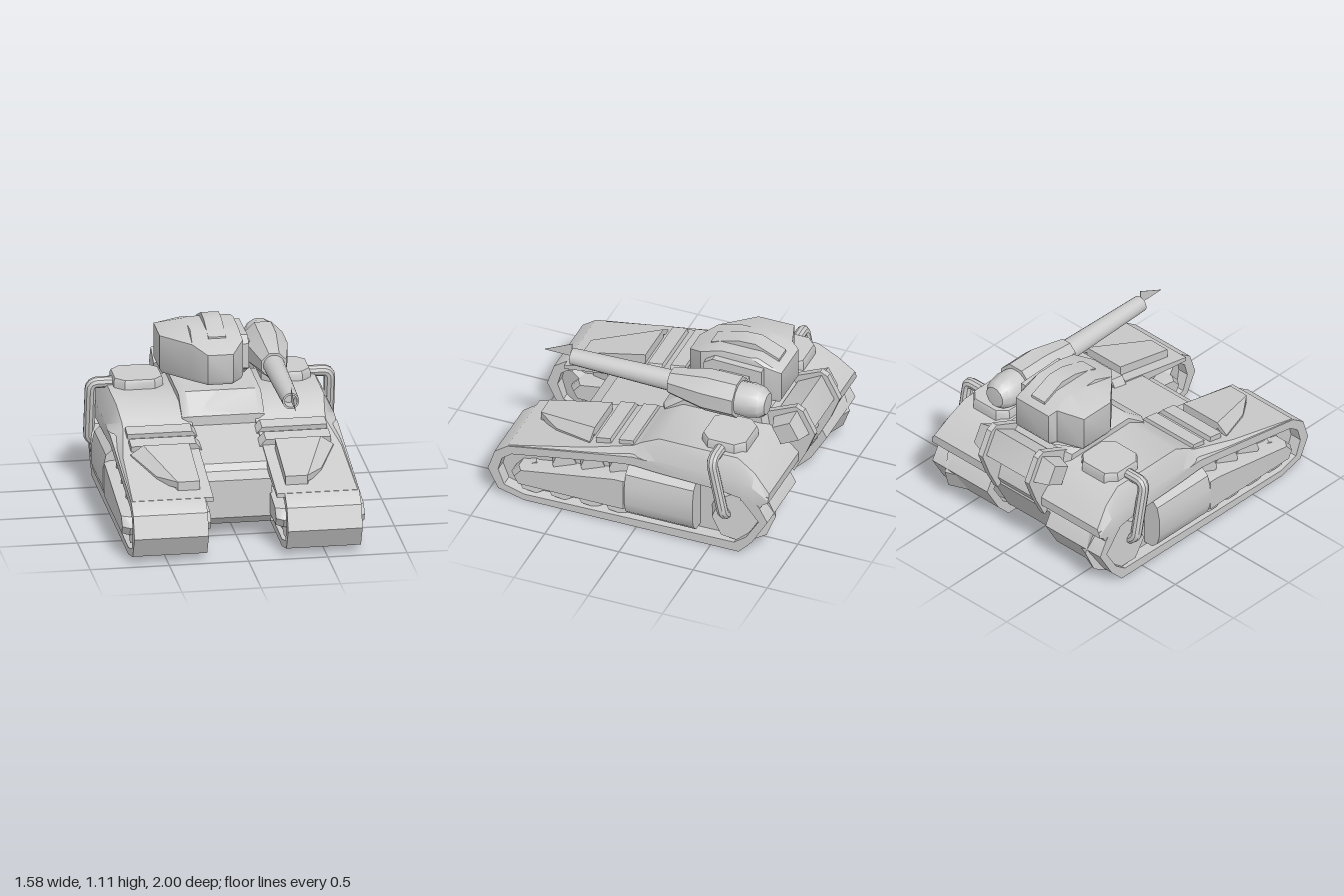
import * as THREE from 'three';
import { toCreasedNormals } from 'three/addons/utils/BufferGeometryUtils.js';

const material = new THREE.MeshStandardMaterial({ color: 0xcccccc, side: THREE.DoubleSide });

// Adds a mesh; with mirror set, also adds its copy across x = 0.
function add(group, name, geometry, mirror = false) {
  const geo = geometry.index ? geometry.toNonIndexed() : geometry;
  geo.deleteAttribute('uv');
  const place = (g, label) => {
    g.computeVertexNormals();
    const mesh = new THREE.Mesh(toCreasedNormals(g, 0.6), material);
    mesh.name = label;
    group.add(mesh);
  };
  if (!mirror) return place(geo, name);
  const other = geo.clone();
  const p = other.attributes.position;
  for (let i = 0; i < p.count; i += 3) {
    const t = [0, 2, 1].map((k) => [-geo.attributes.position.getX(i + k), geo.attributes.position.getY(i + k), geo.attributes.position.getZ(i + k)]);
    t.forEach((v, k) => p.setXYZ(i + k, ...v));
  }
  place(geo, name + 'Left');
  place(other, name + 'Right');
}

// Extrudes a [z, y] outline from x0 to x1.
function sideProfile(points, x0, x1, hole) {
  const shape = new THREE.Shape(points.map((p) => new THREE.Vector2(...p)));
  if (hole) shape.holes.push(new THREE.Path(hole.map((p) => new THREE.Vector2(...p))));
  const geo = new THREE.ExtrudeGeometry(shape, { depth: x1 - x0, bevelEnabled: false });
  return geo.rotateY(-Math.PI / 2).translate(x1, 0, 0);
}

// Joins rings of equal length into a closed solid, facing outward.
function loft(rings) {
  const tris = [];
  const n = rings[0].length;
  for (let r = 0; r + 1 < rings.length; r++) {
    for (let i = 0; i < n; i++) {
      const j = (i + 1) % n;
      const [a, b, c, d] = [rings[r][i], rings[r][j], rings[r + 1][j], rings[r + 1][i]];
      tris.push([a, b, c], [a, c, d]);
    }
  }
  const last = rings[rings.length - 1];
  for (let i = 1; i + 1 < n; i++) {
    tris.push([rings[0][0], rings[0][i + 1], rings[0][i]], [last[0], last[i], last[i + 1]]);
  }
  const v = (p) => new THREE.Vector3(...p);
  const volume = tris.reduce((s, [a, b, c]) => s + v(a).dot(v(b).cross(v(c))), 0);
  const flat = tris.flatMap(([a, b, c]) => (volume < 0 ? [a, c, b] : [a, b, c])).flat();
  return new THREE.BufferGeometry().setAttribute('position', new THREE.Float32BufferAttribute(flat, 3));
}

// Tapers a side profile toward its outer faces.
const bevelled = (points, xs, scales, cz, cy) =>
  loft(xs.map((x, i) => points.map(([z, y]) => [x, cy + (y - cy) * scales[i], cz + (z - cz) * scales[i]])));

const wheel = (r, w, x, y, z, sides = 8) =>
  new THREE.CylinderGeometry(r, r, w, sides).rotateX(Math.PI / sides).rotateZ(Math.PI / 2).translate(x, y, z);

export function createModel() {
  const model = new THREE.Group();
  model.name = 'tank';

  // Track loops and running gear
  const belt = [[1, 0.18], [0.955, 0.32], [0.865, 0.385], [0.02, 0.535], [-0.7, 0.5], [-0.83, 0.38], [-0.885, 0.28],
    [-0.78, 0.1], [-0.69, 0.005], [0.757, 0], [0.93, 0.045]];
  const opening = [[0.93, 0.19], [0.905, 0.28], [0.84, 0.33], [0.05, 0.475], [-0.4, 0.47], [-0.7, 0.42], [-0.825, 0.27],
    [-0.74, 0.13], [-0.66, 0.07], [0.757, 0.045], [0.89, 0.085]];
  add(model, 'track', sideProfile(belt, 0.25, 0.72, opening), true);
  add(model, 'trackCore', sideProfile(opening, 0.33, 0.64), true);
  [0.77, 0.575, 0.375, 0.19].forEach((z) => add(model, 'roadWheel', wheel(0.12, 0.42, 0.485, 0.165, z), true));
  [0.58, 0.39, 0.2].forEach((z) => add(model, 'returnRoller', wheel(0.075, 0.42, 0.485, 0.43 - z * 0.19, z), true));
  add(model, 'driveWheel', wheel(0.2, 0.42, 0.485, 0.255, -0.63), true);

  // Side armour that shows on both faces of each track
  const beam = [[0.84, 0.2], [0.79, 0.26], [0.11, 0.375], [0.04, 0.375], [0.04, 0.145], [0.81, 0.145]];
  add(model, 'sideBeam', bevelled(beam, [0.205, 0.25, 0.72, 0.765], [0.92, 1, 1, 0.92], 0.4, 0.22), true);
  const guard = [[0.71, 0.09], [0.75, 0.13], [0.77, 0.2], [0.77, 0.32], [0.75, 0.41], [0.69, 0.465], [0.6, 0.465], [0.6, 0.09]];
  add(model, 'sideGuard', loft([0.06, -0.4].map((z) => guard.map(([x, y]) => [x, y, z]))), true);

  // Sloped upper hull over each track: [z, top, shoulder, bottom, top width]
  const stations = [[0.865, 0.387, 0.38, 0.36, 0.71], [0.35, 0.5, 0.46, 0.43, 0.69], [0.05, 0.565, 0.5, 0.47, 0.64],
    [0, 0.6, 0.52, 0.47, 0.64], [-0.13, 0.675, 0.545, 0.46, 0.655], [-0.66, 0.675, 0.545, 0.44, 0.655],
    [-0.78, 0.6, 0.52, 0.38, 0.67], [-0.89, 0.49, 0.45, 0.43, 0.7]];
  add(model, 'upperHull', loft(stations.map(([z, top, side, low, w]) =>
    [[0.2, low, z], [0.2, top, z], [w, top, z], [0.72, side, z], [0.72, low, z]])), true);
  add(model, 'rearFender', sideProfile([[-0.7, 0.5], [-0.89, 0.47], [-0.83, 0.37], [-0.7, 0.4]], 0.25, 0.715), true);

  // Central hull
  add(model, 'centralHull', sideProfile([[0.53, 0.09], [0.57, 0.14], [0.57, 0.385], [0.49, 0.42], [0.47, 0.465], [0.02, 0.56],
    [0.02, 0.62], [-0.13, 0.735], [-0.68, 0.735], [-0.8, 0.6], [-0.86, 0.42], [-0.69, 0.09]], -0.215, 0.215));
  add(model, 'lowerHull', sideProfile([[0.5, 0.08], [0.5, 0.4], [0, 0.5], [-0.8, 0.5], [-0.84, 0.36], [-0.69, 0.08]], -0.252, 0.252));
  const deck = [[0.02, 0.5], [0.02, 0.62], [-0.13, 0.735], [-0.68, 0.735], [-0.72, 0.5]];
  add(model, 'centralDeck', bevelled(deck, [-0.26, -0.22, 0.22, 0.26], [0.93, 1, 1, 0.93], -0.3, 0.45));

  // Slats with a bent inner end
  for (const z of [0.105, 0.26]) {
    const y = 0.6 - z * 0.17;
    const slat = [[0.63, 0], [0.22, 0], [0.16, -0.075], [0.16, -0.105], [0.21, -0.045], [0.63, -0.045]];
    const shape = new THREE.Shape(slat.map((p) => new THREE.Vector2(...p)));
    add(model, 'slat', new THREE.ExtrudeGeometry(shape, { depth: 0.1, bevelEnabled: false })
      .translate(0, 0, -0.05).rotateX(0.17).translate(0, y, z), true);
  }

  // Front fenders: a sloping top with a folded outer flap
  const top = [[0.27, 0.565, 0.345], [0.56, 0.565, 0.345], [0.41, 0.465, 0.77], [0.27, 0.465, 0.77]];
  add(model, 'frontFender', loft([top, top.map(([x, y, z]) => [x, y - 0.065, z])]), true);
  const flap = [[0.56, 0.565, 0.345], [0.64, 0.51, 0.345], [0.52, 0.455, 0.62], [0.41, 0.465, 0.77]];
  add(model, 'fenderFlap', loft([flap, flap.map(([x, y, z]) => [x, y - 0.04, z])]), true);

  // Deck pods and exhaust pipes
  const pod = [[0.31, -0.62], [0.37, -0.68], [0.56, -0.68], [0.62, -0.62], [0.62, -0.44], [0.56, -0.38], [0.37, -0.38], [0.31, -0.44]];
  add(model, 'deckPod', loft([0.66, 0.715, 0.735].map((y, i) => pod.map(([x, z]) => {
    const s = i === 2 ? 0.95 : 1;
    return [0.465 + (x - 0.465) * s, y, -0.53 + (z + 0.53) * s];
  }))), true);
  const pipePath = new THREE.CurvePath();
  const bends = [[0.58, 0.685, -0.525], [0.71, 0.685, -0.525], [0.755, 0.64, -0.53], [0.755, 0.32, -0.595], [0.735, 0.27, -0.6], [0.66, 0.25, -0.6]]
    .map((p) => new THREE.Vector3(...p));
  pipePath.add(new THREE.LineCurve3(bends[0], bends[1]));
  pipePath.add(new THREE.QuadraticBezierCurve3(bends[1], new THREE.Vector3(0.755, 0.685, -0.525), bends[2]));
  pipePath.add(new THREE.LineCurve3(bends[2], bends[3]));
  pipePath.add(new THREE.QuadraticBezierCurve3(bends[3], bends[4], bends[5]));
  add(model, 'exhaustPipe', new THREE.TubeGeometry(pipePath, 32, 0.036, 10), true);

  // Rear brackets holding a tilted box
  add(model, 'rearBracket', sideProfile([[-0.62, 0.72], [-0.87, 0.835], [-0.92, 0.81], [-1, 0.655], [-0.94, 0.5], [-0.86, 0.34],
    [-0.78, 0.4], [-0.72, 0.6]], 0.18, 0.22), true);
  const box = [[-0.72, 0.72], [-0.88, 0.81], [-0.965, 0.65], [-0.8, 0.565]];
  add(model, 'rearBox', bevelled(box, [-0.32, -0.21, 0.21, 0.32], [0.72, 1, 1, 0.72], -0.84, 0.685));

  // Turret
  add(model, 'turretRing', new THREE.CylinderGeometry(0.24, 0.17, 0.07, 8).rotateY(Math.PI / 8).translate(0, 0.765, -0.43));
  const plan = [[-0.34, -0.63], [-0.165, -0.69], [-0.14, -0.74], [0.14, -0.74], [0.155, -0.63], [0.155, -0.2],
    [0.08, -0.1], [-0.08, -0.1], [-0.165, -0.19], [-0.34, -0.39]];
  const roofY = [1.02, 1.03, 1, 1, 1.03, 1.03, 0.975, 0.975, 1.02, 1.02];
  const crown = plan.map(([x, z]) => [Math.max(-0.16, x * 0.95), 1.07, -0.45 + (z + 0.45) * 0.45]);
  add(model, 'turret', loft([
    plan.map(([x, z]) => [x * 0.95, 0.775, -0.43 + (z + 0.43) * 0.95]),
    plan.map(([x, z]) => [x, 0.8, z]),
    plan.map(([x, z], i) => [x, roofY[i], z]),
    crown,
  ]));
  add(model, 'roofStrip', sideProfile([[-0.23, 1.0], [-0.23, 1.05], [-0.41, 1.105], [-0.53, 1.11], [-0.69, 1.04], [-0.69, 0.99]], -0.058, 0.055));
  add(model, 'gunMount', sideProfile([[-0.24, 0.83], [-0.24, 0.99], [-0.3, 1.03], [-0.63, 1.02], [-0.63, 0.8], [-0.3, 0.8]], 0.13, 0.2));
  add(model, 'gunPivot', new THREE.BoxGeometry(0.16, 0.14, 0.2).translate(0.24, 0.895, -0.45));

  // Gun: turned barrel, eight-sided housing, rounded breech and tip fin
  const turned = (profile, sides) => new THREE.LatheGeometry(profile.map(([r, z]) => new THREE.Vector2(r, z)), sides)
    .rotateY(Math.PI / sides).rotateX(Math.PI / 2).translate(0.333, 0.895, 0);
  add(model, 'gunBarrel', turned([[0, -0.1], [0.068, -0.1], [0.053, 0.59], [0.04, 0.59], [0.04, 0.5], [0, 0.5]], 16));
  add(model, 'gunHousing', turned([[0, -0.54], [0.137, -0.54], [0.137, -0.33], [0.085, -0.08], [0, -0.08]], 8));
  add(model, 'gunBreech', turned([[0, -0.735], [0.07, -0.73], [0.1, -0.69], [0.113, -0.62], [0.108, -0.53], [0, -0.53]], 12));
  add(model, 'tipFin', sideProfile([[0.59, 0.895], [0.78, 0.897], [0.59, 0.99]], 0.332, 0.334));

  return model;
}
